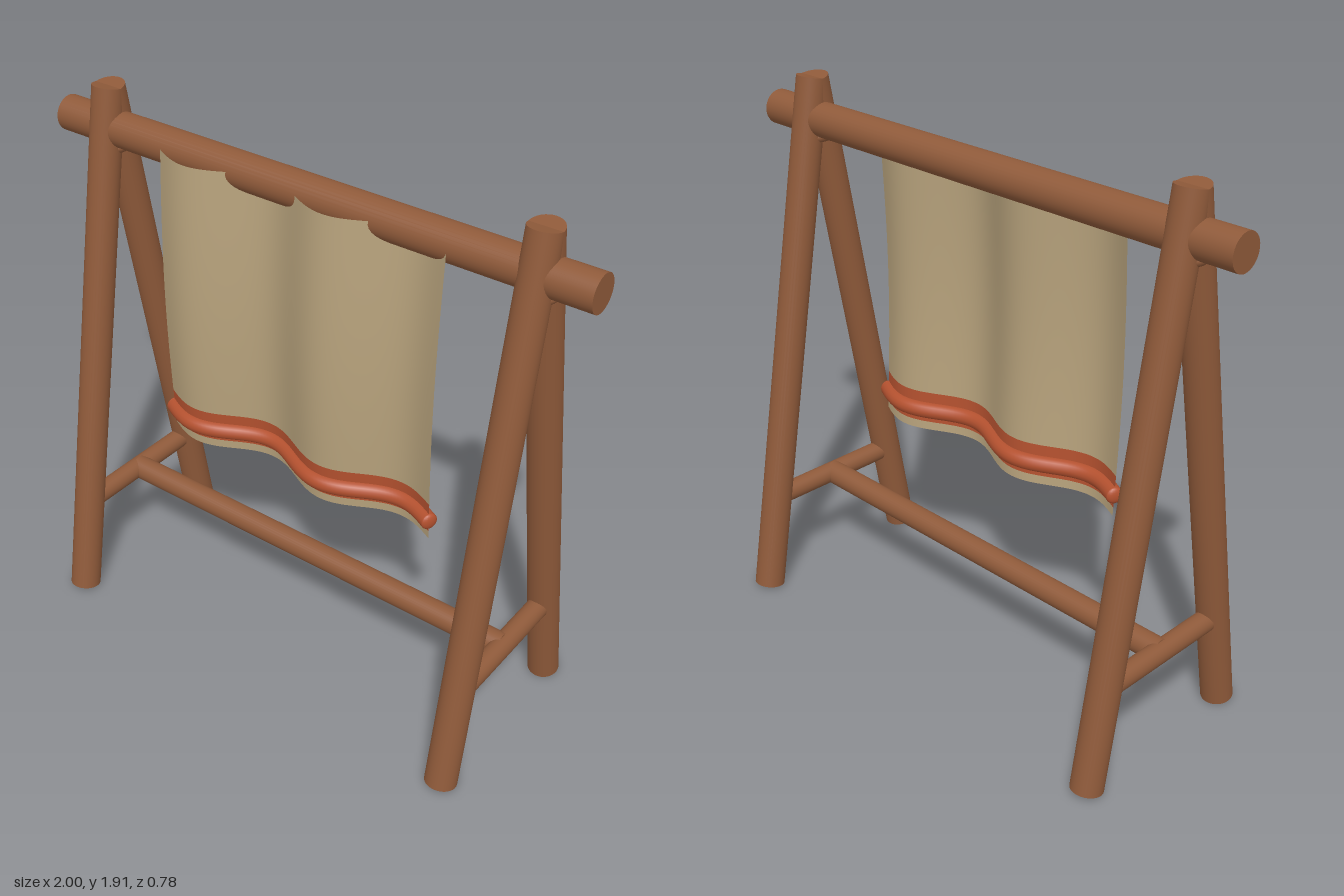
import * as THREE from 'three';

const mat = (name, color, side = THREE.FrontSide) => {
  const m = new THREE.MeshStandardMaterial({ color, side });
  m.name = name;
  return m;
};

const HALF = 0.54, TOP = 1.775, BOTTOM = 0.72;

// Depth of the hanging cloth: two folds across, with a slight belly halfway down
function clothZ(x, y) {
  const v = (TOP - y) / (TOP - BOTTOM);
  return 0.06 + 0.045 * Math.sin((2 * Math.PI * (x + HALF)) / HALF) + 0.02 * Math.sin(Math.PI * v);
}

export function createModel() {
  const wood = mat('wood', 0x8f5a3a);
  const linen = mat('linen', 0xb7a27c, THREE.DoubleSide);
  const red = mat('rust red', 0xb4512f, THREE.DoubleSide);
  const model = new THREE.Group();
  model.name = 'hangingRack';

  const add = (name, geometry, material, parent = model) => {
    const mesh = new THREE.Mesh(geometry, material);
    mesh.name = name;
    parent.add(mesh);
    return mesh;
  };

  // Round log between two points
  const log = (name, a, b, radius, parent) => {
    const from = new THREE.Vector3(...a), to = new THREE.Vector3(...b);
    const dir = to.clone().sub(from);
    const mesh = add(name, new THREE.CylinderGeometry(radius, radius, dir.length(), 32), wood, parent);
    mesh.position.copy(from).add(to).multiplyScalar(0.5);
    mesh.quaternion.setFromUnitVectors(new THREE.Vector3(0, 1, 0), dir.normalize());
  };

  // A-shaped end frames
  for (const [side, x] of [['left', 0.81], ['right', -0.81]]) {
    const frame = new THREE.Group();
    frame.name = side + 'Frame';
    model.add(frame);
    log('frontLeg', [x, 0.01, 0.335], [x, 1.905, 0], 0.055, frame);
    log('backLeg', [x, 0.01, -0.335], [x, 1.905, 0], 0.055, frame);
    log('sideBrace', [x, 0.362, -0.27], [x, 0.362, 0.27], 0.037, frame);
    // Collar under the pole where the legs cross
    const collar = add('collar', new THREE.TorusGeometry(0.045, 0.02, 12, 32), wood, frame);
    collar.rotation.x = Math.PI / 2;
    collar.position.set(x, 1.705, 0);
  }

  // Long horizontal logs
  log('topPole', [-1, 1.763, 0], [1, 1.763, 0], 0.061);
  log('lowerRail', [-0.81, 0.36, 0], [0.81, 0.36, 0], 0.043);

  // Cloth in three strips that share one wavy surface
  const cloth = new THREE.Group();
  cloth.name = 'cloth';
  model.add(cloth);
  const strip = (name, y0, y1, rows, material) => {
    const g = new THREE.PlaneGeometry(2 * HALF, y1 - y0, 64, rows);
    g.translate(0, (y0 + y1) / 2, 0);
    const p = g.attributes.position;
    for (let i = 0; i < p.count; i++) p.setZ(i, clothZ(p.getX(i), p.getY(i)));
    g.computeVertexNormals();
    add(name, g, material, cloth);
  };
  strip('clothPanel', 0.862, TOP, 24, linen);
  strip('clothBand', 0.75, 0.862, 4, red);
  strip('clothHem', BOTTOM, 0.75, 2, linen);

  // Padded roll following the folds, with rounded ends
  const rollY = 0.795, points = [];
  for (let i = 0; i <= 32; i++) {
    const x = -HALF + (2 * HALF * i) / 32;
    points.push(new THREE.Vector3(x, rollY, clothZ(x, rollY)));
  }
  const curve = new THREE.CatmullRomCurve3(points);
  add('roll', new THREE.TubeGeometry(curve, 80, 0.029, 16), red, cloth);
  for (const x of [-HALF, HALF]) {
    const end = add('rollEnd', new THREE.SphereGeometry(0.029, 16, 12), red, cloth);
    end.position.set(x, rollY, clothZ(x, rollY));
    end.scale.x = 0.45;
    end.rotation.y = -0.45;
  }
  return model;
}
